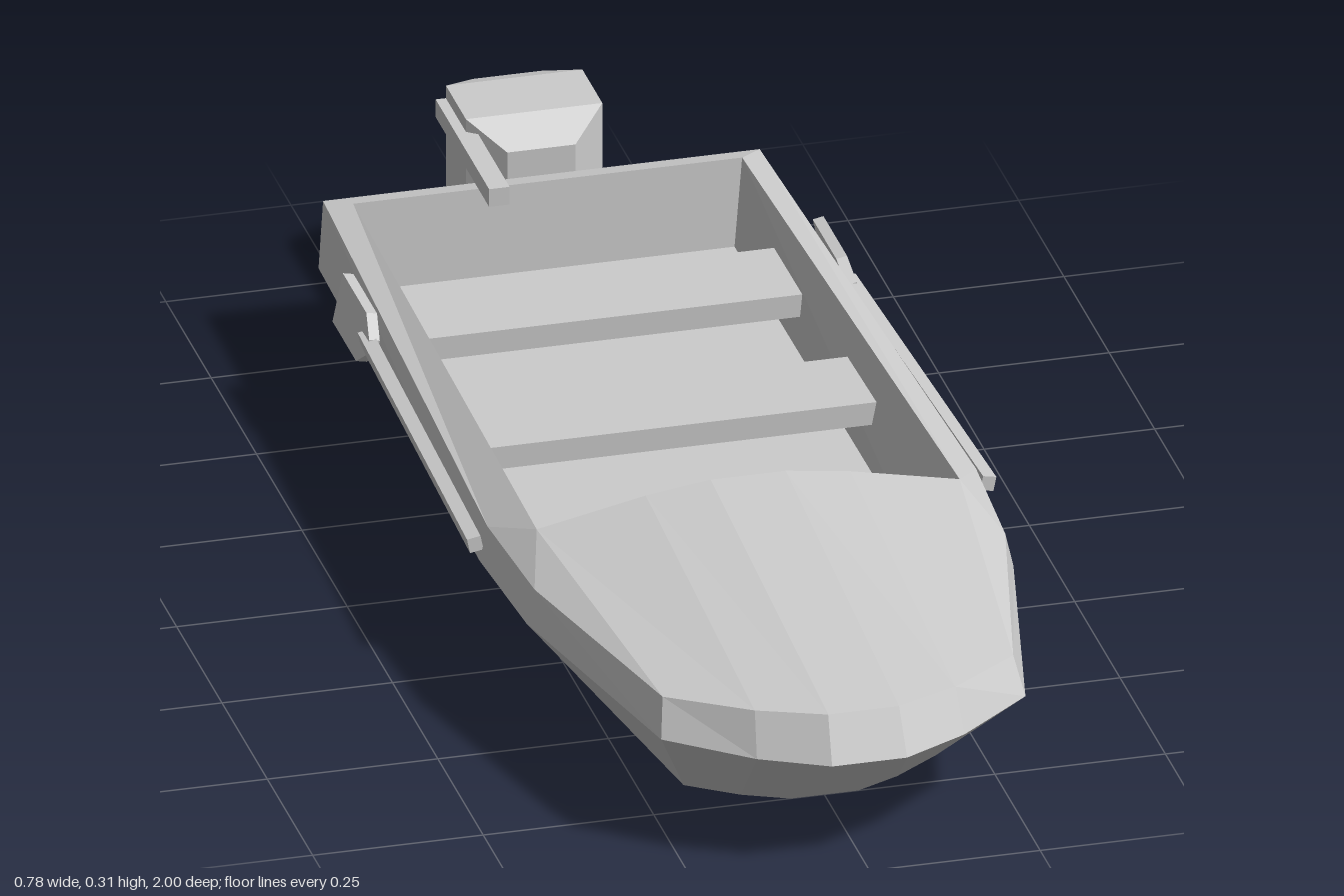
import * as THREE from 'three';

const grey = new THREE.MeshStandardMaterial({ color: 0xcccccc, flatShading: true, side: THREE.DoubleSide });

function addMesh(parent, name, geometry) {
  const mesh = new THREE.Mesh(geometry, grey);
  mesh.name = name;
  parent.add(mesh);
  return mesh;
}

// Geometry from a list of four-cornered faces
function quads(faces) {
  const pos = [];
  for (const [a, b, c, d] of faces) pos.push(...a, ...b, ...c, ...a, ...c, ...d);
  const g = new THREE.BufferGeometry();
  g.setAttribute('position', new THREE.Float32BufferAttribute(pos, 3));
  g.computeVertexNormals();
  return g;
}

// Closed band between two loops of equal length
function band(a, b) {
  return quads(a.map((p, i) => {
    const j = (i + 1) % a.length;
    return [p, b[i], b[j], a[j]];
  }));
}

// Left half, stern to bow, completed by its mirror image
const mirrored = (half) => [...half, ...half.map(([x, y, z]) => [-x, y, z]).reverse()];

function box(parent, name, size, at) {
  const m = addMesh(parent, name, new THREE.BoxGeometry(...size));
  m.position.set(...at);
}

function createOar(side) {
  const oar = new THREE.Group();
  oar.name = side > 0 ? 'leftOar' : 'rightOar';
  // shaft follows the side of the hull
  const from = new THREE.Vector3(0.376 * side, 0.198, 0.24);
  const to = new THREE.Vector3(0.353 * side, 0.19, -0.45);
  const shaft = addMesh(oar, 'oarShaft', new THREE.BoxGeometry(0.02, 0.022, from.distanceTo(to)));
  shaft.position.copy(from).add(to).multiplyScalar(0.5);
  shaft.lookAt(from);
  shaft.rotateZ(-0.2 * side);
  // blade with clipped front corners, drawn as (z, y)
  const outline = [[-0.58, -0.038], [-0.45, -0.038], [-0.415, -0.012], [-0.415, 0.012], [-0.45, 0.038], [-0.58, 0.038]];
  const shape = new THREE.Shape(outline.map(([z, y]) => new THREE.Vector2(-z, y)));
  const g = new THREE.ExtrudeGeometry(shape, { depth: 0.016, bevelEnabled: false });
  g.translate(0, 0, -0.008).rotateY(Math.PI / 2).rotateZ(0.2 * side);
  const blade = addMesh(oar, 'oarBlade', g);
  blade.position.set(0.352 * side, 0.19, 0);
  return oar;
}

export function createModel() {
  const boat = new THREE.Group();
  boat.name = 'motorBoat';

  // hull loops from the open bottom edge up over the gunwale and down to the floor
  const chine = mirrored([[0.2, 0, -0.75], [0.233, 0, 0.2], [0.228, 0, 0.38], [0.185, 0, 0.67], [0.115, 0, 0.72], [0.05, 0, 0.75]]);
  const rim = mirrored([[0.328, 0.125, -0.805], [0.37, 0.172, 0.24], [0.357, 0.172, 0.45], [0.267, 0.172, 0.855], [0.152, 0.172, 0.95], [0.055, 0.172, 1]]);
  const top = mirrored([[0.32, 0.228, -0.81], [0.358, 0.224, 0.24], [0.345, 0.224, 0.45], [0.257, 0.224, 0.825], [0.147, 0.234, 0.92], [0.052, 0.238, 0.967]]);
  const corner = [0.31, 0.257, 0.33];
  const coaming = mirrored([[0.285, 0.236, -0.775], corner, corner, corner, [0.15, 0.29, 0.33], [0.055, 0.303, 0.33]]);
  const foot = [0.277, 0.1, 0.22];
  const floor = mirrored([[0.272, 0.1, -0.768], foot, foot, foot, [0.14, 0.1, 0.22], [0.05, 0.1, 0.22]]);

  const hull = new THREE.Group();
  hull.name = 'hull';
  boat.add(hull);
  addMesh(hull, 'lowerHull', band(chine, rim));
  addMesh(hull, 'rubbingStrake', band(rim, top));
  addMesh(hull, 'gunwaleAndForedeck', band(top, coaming));
  addMesh(hull, 'cockpitWalls', band(coaming, floor));
  addMesh(hull, 'cockpitFloor', quads([[floor[0], floor[11], floor[10], floor[1]]]));

  // benches
  box(boat, 'middleBench', [0.584, 0.035, 0.15], [0, 0.178, -0.13]);
  box(boat, 'rearBench', [0.57, 0.035, 0.153], [0, 0.168, -0.508]);

  // outboard motor, open below, from an eight-sided plan: x, z, bottom, top
  const motor = new THREE.Group();
  motor.name = 'outboardMotor';
  boat.add(motor);
  const plan = [[0.05, -1, 0.125, 0.295], [0.1, -0.96, 0.105, 0.31], [0.1, -0.85, 0.115, 0.31], [0.05, -0.81, 0.15, 0.27]];
  const lower = mirrored(plan.map(([x, z, y]) => [x, y, z]));
  const upper = mirrored(plan.map(([x, z, , y]) => [x, y, z]));
  addMesh(motor, 'motorSides', band(lower, upper));
  addMesh(motor, 'motorLid', quads([0, 1, 2].map((i) => [upper[i], upper[7 - i], upper[6 - i], upper[i + 1]])));
  box(motor, 'tiller', [0.03, 0.028, 0.295], [-0.1, 0.276, -0.813]);

  for (const side of [1, -1]) boat.add(createOar(side));
  return boat;
}
